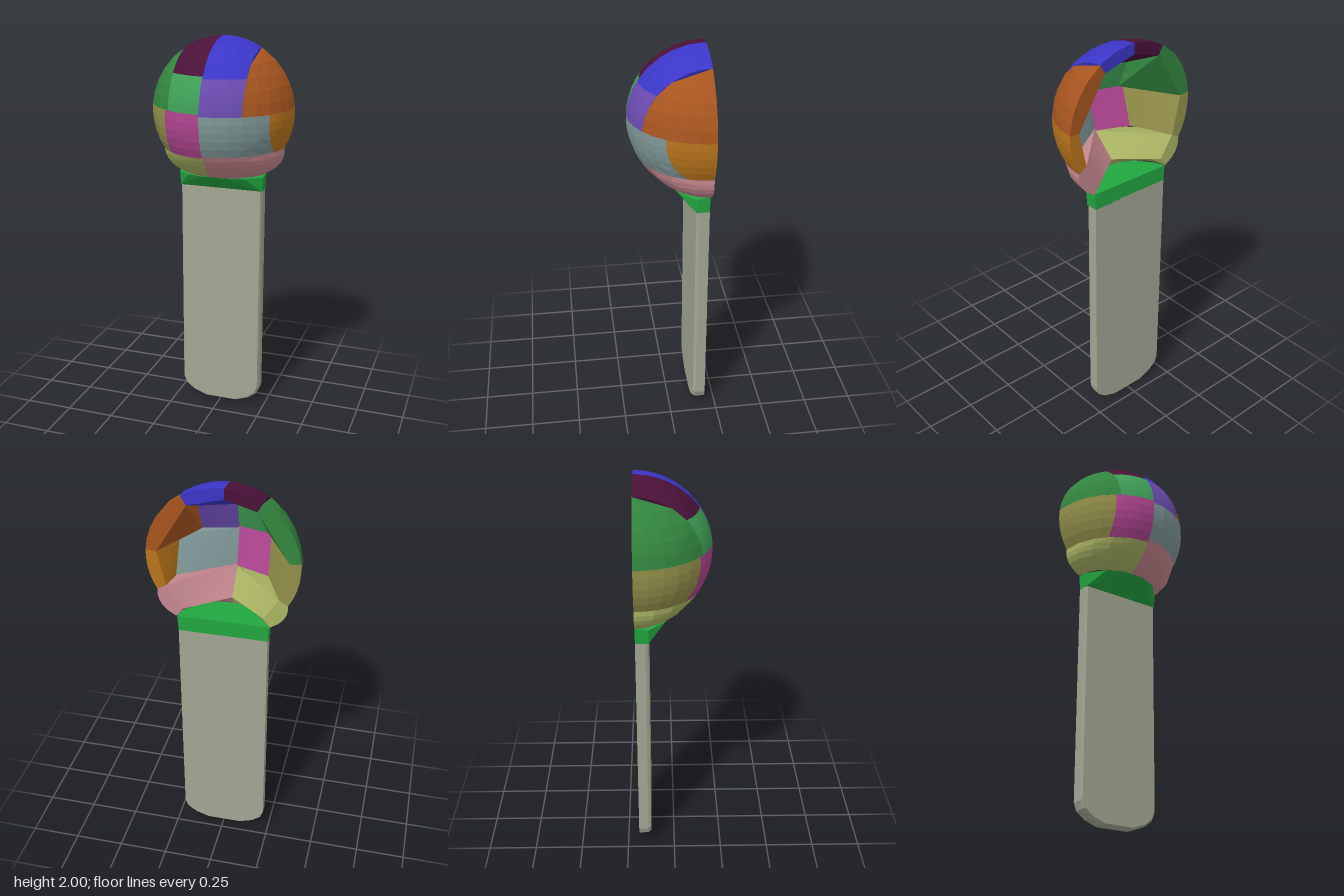
import * as THREE from 'three';
import { ConvexGeometry } from 'three/addons/geometries/ConvexGeometry.js';

const R = 0.365, CY = 1.635, BACK = -0.19, INNER = 0.86, DEPTH = 1.03, N = 5;
const arc = (v, r) => Math.asin(THREE.MathUtils.clamp(v / Math.max(r, 1e-6), -1, 1));
const lerp = THREE.MathUtils.lerp;

function mesh(name, geometry, color) {
  const m = new THREE.Mesh(geometry, new THREE.MeshStandardMaterial({ color, flatShading: true }));
  m.name = name;
  return m;
}

// Point on the half sphere inside a cell, swept around y (rows) or around x (crown)
function spherePoint({ x: [x0, x1], y: [y0, y1], crown, flare = 0 }, u, v) {
  if (crown) {
    const x = lerp(x0, x1, u), h = Math.sqrt(R * R - x * x);
    const a = lerp(arc(y0 - CY, h), Math.PI / 2, v);
    return new THREE.Vector3(x, h * Math.sin(a), h * Math.cos(a) * DEPTH);
  }
  const y = lerp(y0, y1, v) - CY, w = Math.sqrt(Math.max(0, R * R - y * y));
  const t = lerp(arc(x0, w), arc(x1, w), u);
  return new THREE.Vector3(w * Math.sin(t) * (1 + flare * (1 - v)), y, w * Math.cos(t) * DEPTH);
}

// Shell block: curved faceted outside, flat inside, closed edges
function blockGeometry(cell) {
  const corner = [[0, 0], [1, 0], [0, 1], [1, 1]].map(([u, v]) => spherePoint(cell, u, v).multiplyScalar(INNER));
  const outer = (i, j) => spherePoint(cell, i / N, j / N);
  const inner = (i, j) => corner[0].clone().lerp(corner[1], i / N)
    .lerp(corner[2].clone().lerp(corner[3], i / N), j / N);
  const pos = [];
  const tri = (...pts) => pts.forEach(p => pos.push(p.x, p.y + CY, p.z + BACK));
  const quad = (a, b, c, d, flip) => {
    if (flip) { tri(a, b, d); tri(b, c, d); } else { tri(a, b, c); tri(a, c, d); }
  };
  for (let i = 0; i < N; i++) for (let j = 0; j < N; j++) {
    quad(outer(i, j), outer(i + 1, j), outer(i + 1, j + 1), outer(i, j + 1), (i + j) % 2);
    quad(inner(i, j), inner(i, j + 1), inner(i + 1, j + 1), inner(i + 1, j));
  }
  const ring = [];
  for (let k = 0; k < N; k++) ring.push([k, 0]);
  for (let k = 0; k < N; k++) ring.push([N, k]);
  for (let k = N; k > 0; k--) ring.push([k, N]);
  for (let k = N; k > 0; k--) ring.push([0, k]);
  ring.forEach((p, k) => {
    const q = ring[(k + 1) % ring.length];
    quad(outer(...p), inner(...p), inner(...q), outer(...q));
  });
  const g = new THREE.BufferGeometry();
  g.setAttribute('position', new THREE.Float32BufferAttribute(pos, 3));
  g.computeVertexNormals();
  return g;
}

export function createModel() {
  const model = new THREE.Group();
  model.name = 'patchworkHead';

  // Dome blocks
  const dome = new THREE.Group();
  dome.name = 'dome';
  model.add(dome);
  const sideTop = x => CY + Math.sqrt(R * R - x * x);
  const blocks = [
    ['crownRight', 0x4a1238, { x: [-0.185, -0.01], y: [1.84, 2], crown: true }],
    ['crownLeft', 0x3b36c8, { x: [-0.01, 0.19], y: [1.83, 2], crown: true }],
    ['upperSideRight', 0x33863f, { x: [-1, -0.185], y: [1.67, sideTop(0.185)] }],
    ['upperFrontRight', 0x3f9f57, { x: [-0.185, -0.01], y: [1.67, 1.84] }],
    ['upperFrontLeft', 0x6a4bb0, { x: [-0.01, 0.19], y: [1.66, 1.83] }],
    ['upperSideLeft', 0xa8551f, { x: [0.19, 1], y: [1.66, sideTop(0.19)] }],
    ['lowerSideRight', 0x93904a, { x: [-1, -0.205], y: [1.445, 1.67] }],
    ['lowerFrontRight', 0xb04590, { x: [-0.205, -0.01], y: [1.445, 1.67] }],
    ['lowerFrontLeft', 0x7f9797, { x: [-0.01, 0.295], y: [1.455, 1.66] }],
    ['lowerSideLeft', 0xb8741c, { x: [0.295, 1], y: [1.455, 1.66] }],
    ['baseRight', 0xaab463, { x: [-1, -0.01], y: [1.315, 1.445], flare: 0.3 }],
    ['baseLeft', 0xc5878f, { x: [-0.01, 1], y: [1.315, 1.455], flare: 0.3 }],
  ];
  for (const [name, color, cell] of blocks) dome.add(mesh(name, blockGeometry(cell), color));

  // Collar: wedge spreading from the handle to the dome
  const collar = [];
  for (const s of [-1, 1]) {
    for (const [x, y, z] of [[0.22, 1.23, BACK], [0.22, 1.23, -0.125], [0.225, 1.315, BACK],
      [0.225, 1.305, -0.125], [0.15, 1.31, -0.045], [0.06, 1.315, -0.01]]) {
      collar.push(new THREE.Vector3(s * x, y, z));
    }
  }
  model.add(mesh('collar', new ConvexGeometry(collar), 0x22a63f));

  // Handle: thin plate with a rounded foot and slightly chamfered front
  const handle = [];
  const half = [[0.22, 1.235], [0.22, 0.1], [0.205, 0.06], [0.16, 0.025], [0.09, 0]];
  for (const s of [-1, 1]) {
    for (const [x, y] of half) {
      handle.push(new THREE.Vector3(s * x, y, BACK), new THREE.Vector3(s * x, y, -0.14));
      handle.push(new THREE.Vector3(s * (x - 0.008), y < 1 ? y + 0.008 : y, -0.125));
    }
  }
  model.add(mesh('handle', new ConvexGeometry(handle), 0xa3a593));

  return model;
}
